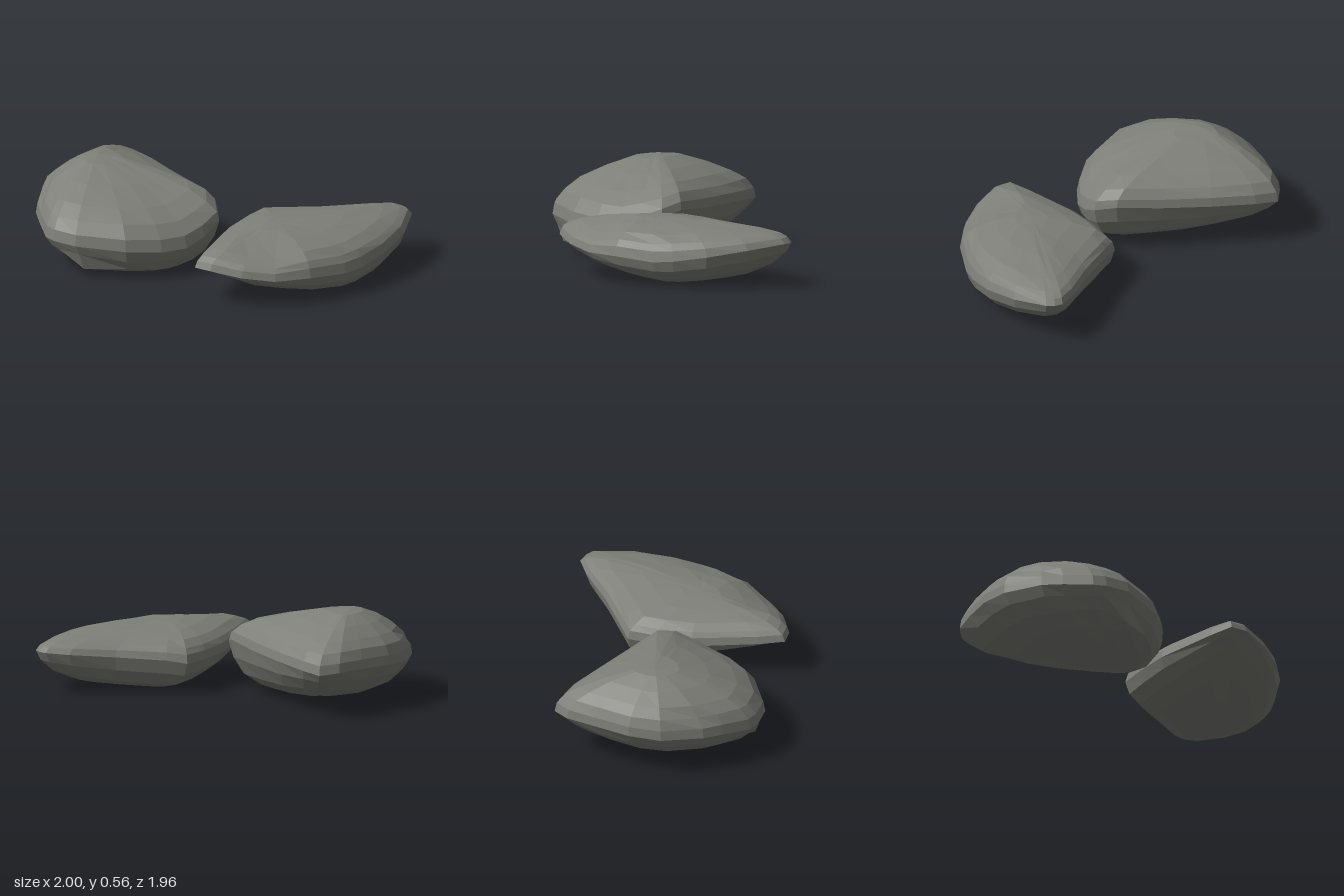
import * as THREE from 'three';

// Rock from scaled loops: rim = [x, z, y] points; top and bottom rings = [scale, height fraction];
// floor(x, z) is the height of the underside
function rockGeometry({ rim, peak, base, floor, top, bottom, nudges, seed }) {
  const rand = () => (seed = (seed * 16807) % 2147483647) / 2147483647 - 0.5;
  const loop = ([cx, cz], target, [s, t]) => rim.map(([x, z, y]) => {
    const wobble = s < 0.95 ? 0.016 * s : 0;
    const k = s + rand() * wobble;
    const px = cx + (x - cx) * k, pz = cz + (z - cz) * k;
    const goal = target(px, pz, y);
    const p = new THREE.Vector3(px, y + (goal - y) * t + rand() * wobble * 0.7, pz);
    for (const [at, by, radius] of nudges) {
      const d = p.distanceTo(new THREE.Vector3(...at));
      if (d < radius) p.addScaledVector(new THREE.Vector3(...by), 1 - d / radius);
    }
    p.y = Math.max(p.y, 0);
    return p;
  });
  const under = (x, z, y) => Math.min(y, floor(x, z));
  const over = () => peak[2];
  const loops = [
    ...bottom.map((r) => loop(base, under, r)),
    loop(peak, over, [1, 0]),
    ...top.map((r) => loop(peak, over, r))
  ];
  const n = rim.length, last = loops.length - 2;
  const index = [];
  for (let i = 0; i <= last; i++) {
    for (let k = 0; k < n; k++) {
      const a = i * n + k, b = i * n + (k + 1) % n, c = b + n, d = a + n;
      if (i < last) index.push(a, d, c);
      if (i > 0) index.push(a, c, b);
    }
  }
  const g = new THREE.BufferGeometry().setFromPoints(loops.flat());
  g.setIndex(index);
  g.computeVertexNormals();
  return g;
}

export function createModel() {
  const group = new THREE.Group();
  const stone = new THREE.MeshStandardMaterial({ color: 0x7f7f79, flatShading: true });
  stone.name = 'stone grey';

  // Taller wedge-shaped rock with a straight back edge
  const tall = new THREE.Mesh(rockGeometry({
    rim: [
      [-0.96, -0.05, 0.27], [-0.82, -0.07, 0.28], [-0.55, -0.06, 0.29], [-0.25, -0.03, 0.3],
      [0.02, 0, 0.32], [0.14, 0.07, 0.28], [0.17, 0.2, 0.22], [0.18, 0.34, 0.18],
      [0.15, 0.5, 0.18], [0.06, 0.7, 0.2], [-0.15, 0.92, 0.22], [-0.3, 0.975, 0.22],
      [-0.38, 0.975, 0.22], [-0.55, 0.9, 0.24], [-0.67, 0.84, 0.25], [-0.86, 0.66, 0.26],
      [-0.94, 0.48, 0.27], [-0.98, 0.25, 0.28], [-1, 0.07, 0.28]
    ],
    peak: [-0.6, 0.43, 0.56],
    base: [-0.2, 0.42],
    floor: (x, z) => 0.13 * (x + 0.1) ** 2 + 0.3 * (z - 0.42) ** 2,
    top: [[0.98, 0.2], [0.9, 0.4], [0.75, 0.58], [0.5, 0.79], [0.22, 0.96], [0, 1]],
    bottom: [[0, 1], [0.35, 1], [0.62, 0.94], [0.82, 0.75], [0.94, 0.4]],
    // small chip in the front and a low spur beneath it
    nudges: [
      [[-0.62, 0.36, 0.8], [0.01, -0.02, -0.04], 0.08],
      [[-0.18, 0.08, 0.84], [0, -0.05, 0.03], 0.1]
    ],
    seed: 17
  }), stone);
  tall.name = 'tallRock';

  // Flatter, longer rock with pointed ends
  const flat = new THREE.Mesh(rockGeometry({
    rim: [
      [0.62, -0.98, 0.26], [0.67, -0.97, 0.26], [0.83, -0.8, 0.23], [0.94, -0.58, 0.19],
      [0.99, -0.38, 0.16], [1, -0.25, 0.15], [0.98, 0, 0.17], [0.91, 0.21, 0.19],
      [0.8, 0.38, 0.21], [0.66, 0.51, 0.23], [0.56, 0.55, 0.23], [0.46, 0.43, 0.22],
      [0.23, 0.1, 0.2], [0.14, -0.1, 0.19], [0.09, -0.27, 0.19], [0.16, -0.37, 0.21],
      [0.34, -0.62, 0.23], [0.48, -0.86, 0.25], [0.57, -0.97, 0.26]
    ],
    peak: [0.56, -0.06, 0.37],
    base: [0.62, -0.32],
    floor: (x, z) => 0.01 + 0.28 * (z + 0.32) ** 2,
    top: [[0.97, 0.29], [0.91, 0.48], [0.78, 0.69], [0.5, 0.88], [0.22, 0.98], [0, 1]],
    bottom: [[0, 1], [0.3, 1], [0.6, 0.94], [0.82, 0.78], [0.95, 0.42]],
    // shallow hollow on the front left shoulder
    nudges: [[[0.82, 0.32, 0.22], [0, -0.045, 0], 0.26]],
    seed: 91
  }), stone);
  flat.name = 'flatRock';

  group.add(tall, flat);
  return group;
}
